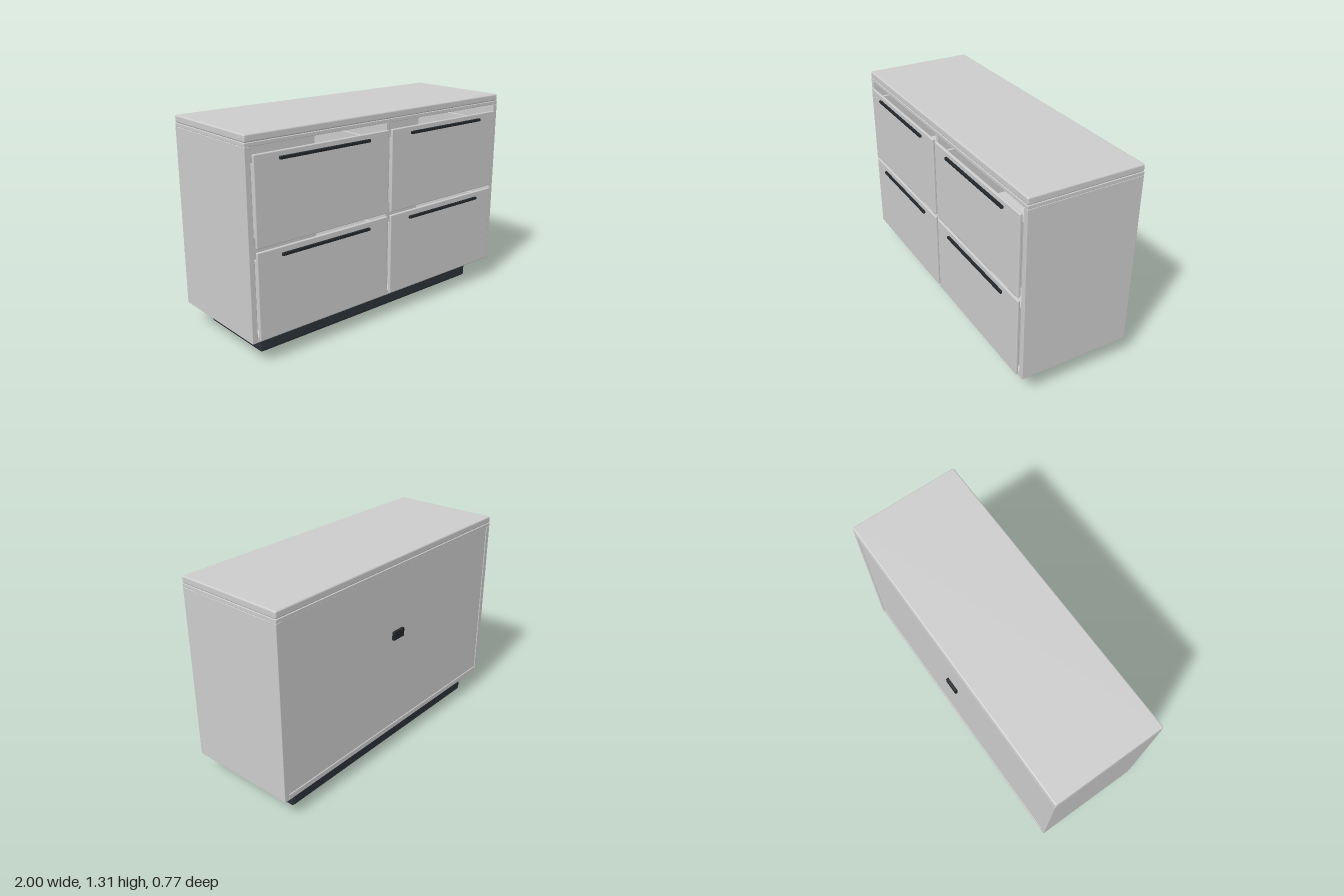
import * as THREE from 'three';
import { RoundedBoxGeometry } from 'three/addons/geometries/RoundedBoxGeometry.js';

export function createModel() {
  const model = new THREE.Group();
  model.name = 'drawerCabinet';
  const grey = new THREE.MeshStandardMaterial({ color: 0xcccccc });
  const dark = new THREE.MeshStandardMaterial({ color: 0x2b3238 });
  const black = new THREE.MeshStandardMaterial({ color: 0x22272b });

  // Softly rounded block given by its extents along each axis
  function block(parent, name, [x0, x1], [y0, y1], [z0, z1], radius = 0.003, material = grey) {
    const geometry = new RoundedBoxGeometry(x1 - x0, y1 - y0, z1 - z0, 3, radius);
    const mesh = new THREE.Mesh(geometry, material);
    mesh.name = name;
    mesh.position.set((x0 + x1) / 2, (y0 + y1) / 2, (z0 + z1) / 2);
    parent.add(mesh);
    return mesh;
  }

  const depth = [-0.37, 0.352];

  // Recessed base and overlapping worktop
  block(model, 'plinth', [-0.88, 0.88], [0, 0.14], [-0.305, 0.245], 0.02, dark);
  block(model, 'worktop', [-1, 1], [1.265, 1.31], depth, 0.01);

  // Carcass panels
  block(model, 'topPanel', [-1, 1], [1.243, 1.265], depth);
  block(model, 'bottomPanel', [-0.965, 0.965], [0.14, 0.175], depth);
  block(model, 'rightSidePanel', [-1, -0.965], [0.14, 1.243], depth);
  block(model, 'leftSidePanel', [0.965, 1], [0.14, 1.243], depth);
  block(model, 'centreDivider', [-0.013, 0.013], [0.175, 1.243], [-0.355, 0.348]);
  block(model, 'backPanel', [-0.965, 0.965], [0.175, 1.243], [-0.366, -0.35]);

  // Cable outlet on the back
  block(model, 'cableOutlet', [-0.05, 0.05], [0.785, 0.84], [-0.383, -0.364], 0.003, black);

  // Two columns of two open-topped drawers with bar handles
  const rows = [
    { label: 'lower', y0: 0.152, y1: 0.67, handleY: 0.627 },
    { label: 'upper', y0: 0.69, y1: 1.203, handleY: 1.164 },
  ];
  for (const side of [-1, 1]) {
    for (const { label, y0, y1, handleY } of rows) {
      const drawer = new THREE.Group();
      drawer.name = `${label}${side < 0 ? 'Right' : 'Left'}Drawer`;
      model.add(drawer);
      const span = (a, b) => (side > 0 ? [a, b] : [-b, -a]);

      block(drawer, 'drawerFront', span(0.013, 0.96), [y0, y1], [0.352, 0.37], 0.006);
      block(drawer, 'handle', span(0.167, 0.803), [handleY - 0.009, handleY + 0.009],
        [0.367, 0.384], 0.004, black);

      // Box behind the front
      const floor = y0 + 0.05, rim = y1 - 0.06, inner = [-0.32, 0.352];
      block(drawer, 'drawerFloor', span(0.04, 0.935), [floor, floor + 0.015], inner);
      block(drawer, 'drawerInnerSide', span(0.03, 0.045), [floor, rim], inner);
      block(drawer, 'drawerOuterSide', span(0.93, 0.945), [floor, rim], inner);
      block(drawer, 'drawerBack', span(0.04, 0.935), [floor, rim], [-0.32, -0.305]);
    }
  }
  return model;
}
